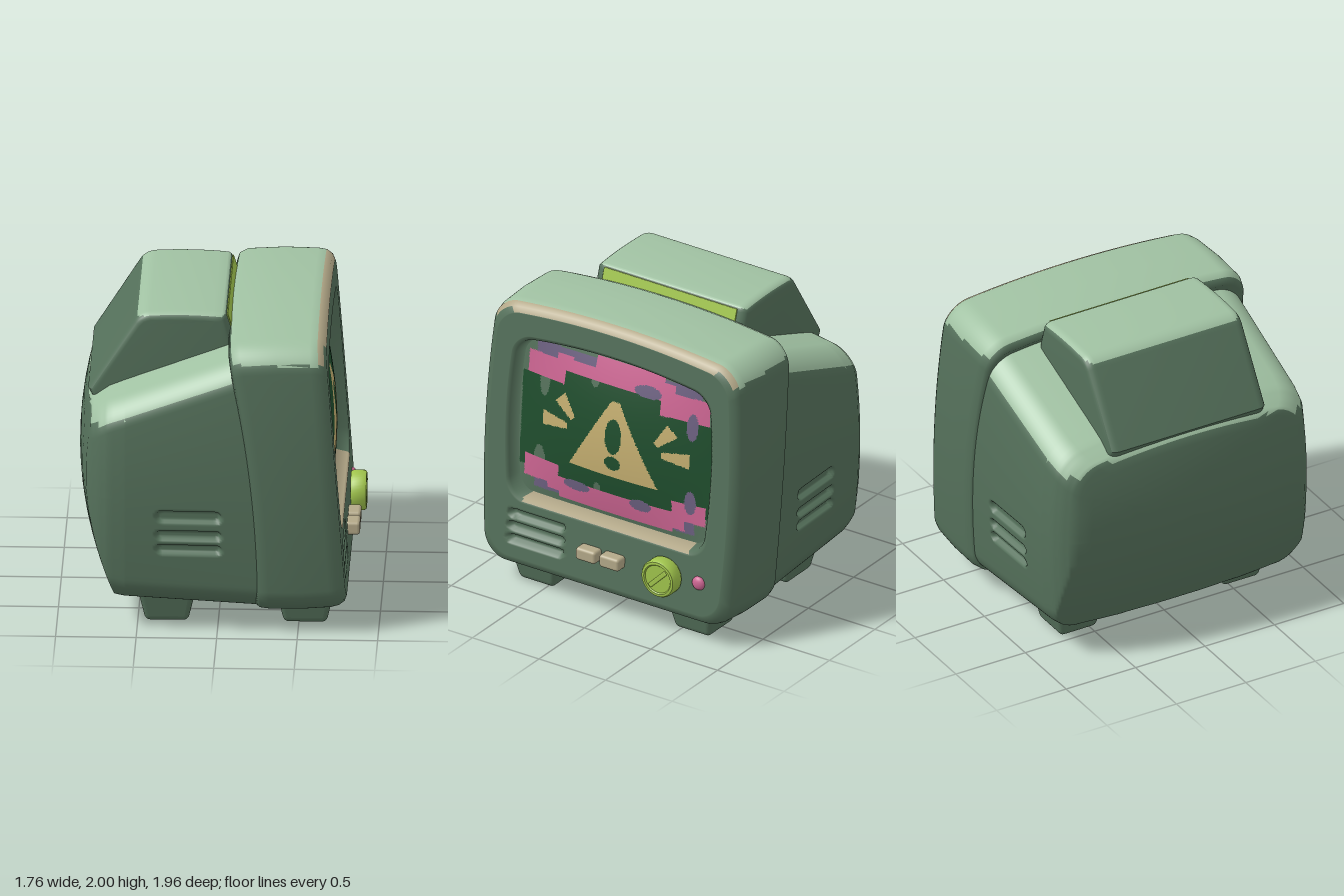
import * as THREE from 'three';
import { mergeVertices, toCreasedNormals } from 'three/addons/utils/BufferGeometryUtils.js';
import { RoundedBoxGeometry } from 'three/addons/geometries/RoundedBoxGeometry.js';

const mat = (name, color) => Object.assign(new THREE.MeshStandardMaterial({ color }), { name });
const lerp = THREE.MathUtils.lerp;

// Slanted front plane, curved seam and domed back, as x positions
const frontX = (y) => 0.80 - 0.13 * (y - 0.2) / 1.7;
const seamX = (y) => 0.24 - 0.17 * (Math.max(0, y - 0.2) / 1.6) ** 2;
const backX = (y, z) => -0.88 + 0.16 * ((y - 1) / 0.75) ** 2 + 0.07 * (z / 0.85) ** 2;

// Bulged rounded rectangle in the zy plane; stops and counts set the sampling down each side
function section([w, y0, y1, r], sag, nFlat, midStops, counts) {
  const half = [], nc = 12;
  for (let i = 0; i <= nFlat; i++) half.push([(w - r) * i / nFlat, y1]);
  for (let i = 1; i < nc; i++) {
    const a = i / nc * Math.PI / 2;
    half.push([w - r + r * Math.sin(a), y1 - r + r * Math.cos(a)]);
  }
  const stops = [y1 - r, ...midStops, y0 + r];
  counts.forEach((n, k) => {
    for (let i = 0; i < n; i++) half.push([w, lerp(stops[k], stops[k + 1], i / n)]);
  });
  for (let i = 0; i < nc; i++) {
    const a = i / nc * Math.PI / 2;
    half.push([w - r + r * Math.cos(a), y0 + r - r * Math.sin(a)]);
  }
  for (let i = 0; i <= nFlat; i++) half.push([(w - r) * (1 - i / nFlat), y0]);
  const loop = [...half, ...half.slice(1, -1).reverse().map(([z, y]) => [-z, y])];
  const yc = (y0 + y1) / 2, h = (y1 - y0) / 2;
  return loop.map(([z, y]) => {
    const t = (y - yc) / h;
    return [z * (1 - 0.05 * t * t), y - sag * (z / w) ** 2 * Math.max(0, t)];
  });
}

// Skin through closed loops of [x, y, z], running towards +x
function loft(rings) {
  const n = rings[0].length, index = [];
  for (let i = 0; i < rings.length - 1; i++) for (let j = 0; j < n; j++) {
    const a = i * n + j, b = i * n + (j + 1) % n;
    index.push(a, b, b + n, a, b + n, a + n);
  }
  const g = new THREE.BufferGeometry();
  g.setAttribute('position', new THREE.Float32BufferAttribute(rings.flat(2), 3));
  g.setIndex(index);
  g.computeVertexNormals();
  return g;
}

// Sort triangles into material groups by rule(normal, centre)
function paint(g, count, rule) {
  const p = g.attributes.position;
  const idx = g.index ? g.index.array : Array.from({ length: p.count }, (_, i) => i);
  const bins = Array.from({ length: count }, () => []);
  const t = new THREE.Triangle(), n = new THREE.Vector3(), c = new THREE.Vector3();
  for (let i = 0; i < idx.length; i += 3) {
    t.setFromAttributeAndIndices(p, idx[i], idx[i + 1], idx[i + 2]);
    t.getNormal(n);
    t.getMidpoint(c);
    bins[rule(n, c)].push(idx[i], idx[i + 1], idx[i + 2]);
  }
  g.clearGroups();
  g.setIndex(bins.flat());
  let start = 0;
  bins.forEach((b, k) => { if (b.length) g.addGroup(start, b.length, k); start += b.length; });
  return g;
}

// Depth of a rounded horizontal slot
function slotDepth(u, y, u0, u1, yc, hh) {
  const du = Math.max(u0 + hh - u, 0, u - u1 + hh);
  return 0.035 * (1 - THREE.MathUtils.smoothstep(Math.hypot(du, y - yc), hh - 0.016, hh + 0.002));
}

// Picture on the screen: 0 dark, 1 pink, 2 mauve, 3 tan, 4 body green
const inRect = (z, y) => ([a, b, c, d]) => z > a && z < b && y > c && y < d;
const inOval = (z, y) => ([a, b, rz, ry]) => ((z - a) / rz) ** 2 + ((y - b) / ry) ** 2 < 1;
const pinkRects = [[-.34, .17, 1.53, 1.69], [.16, .4, 1.53, 1.61], [.34, .46, 1.53, 1.63], [.39, .68, 1.44, 1.59],
  [-.68, -.33, 1.44, 1.6], [-.42, -.33, 1.53, 1.65], [-.68, -.44, .76, .89], [.41, .68, .74, .89],
  [-.44, .41, .66, .81], [-.53, -.43, .69, .8], [.4, .5, .7, .8]];
const mauveOvals = [[-.23, 1.56, .1, .04], [.27, .785, .1, .035], [-.21, .785, .08, .04],
  [-.565, 1.41, .04, .09], [-.57, .9, .04, .08]];
const mauveRects = [[-.62, .62, 1.58, 1.67], [-.6, .6, .68, .76]];
const greenOvals = [[.54, 1.43, .04, .11], [.16, 1.53, .03, .04], [.56, .88, .045, .1], [.11, .82, .025, .04]];
// Tapered ray from its broad end to its tip
function inRay(z, y, a, b) {
  const dz = b[0] - a[0], dy = b[1] - a[1], len = Math.hypot(dz, dy);
  const s = ((z - a[0]) * dz + (y - a[1]) * dy) / len ** 2;
  const d = Math.abs((z - a[0]) * dy - (y - a[1]) * dz) / len;
  return s > 0 && s < 1 && d < lerp(0.05, 0.02, s);
}
function picture(z, y) {
  const oval = inOval(z, y), rect = inRect(z, y), m = Math.abs(z + 0.01);
  const mark = oval([-.01, 1.21, .06, .118]) || oval([-.01, 1.03, .058, .046]);
  if (y > 0.935 && y < 1.44 && m < 0.03 + (1.44 - y) * 0.595 && !mark) return 3;
  if (inRay(z < -0.01 ? -z - 0.02 : z, y, [.54, 1.18], [.34, 1.18])) return 3;
  if (inRay(z < -0.01 ? -z - 0.02 : z, y, [.41, 1.355], [.3, 1.24])) return 3;
  if (mauveOvals.some(oval)) return 2;
  if (pinkRects.some(rect)) return 1;
  if (mauveRects.some(rect)) return 2;
  if (greenOvals.some(oval) || y > 1.53 || y < 0.81) return 4;
  return Math.abs(z) < (y > 1.44 || y < 0.74 ? 0.68 : 0.72) ? 0 : 4;
}

export function createModel() {
  const body = mat('body green', 0x55715b), light = mat('light green', 0xa0c1a2), lime = mat('lime', 0xa0c44c);
  const beige = mat('beige', 0xb3a888), dark = mat('dark screen green', 0x1f4d2d), pink = mat('pink', 0xcc6592);
  const mauve = mat('mauve', 0x6c6080), tan = mat('tan', 0xc4ae70);
  const model = new THREE.Group();
  const add = (name, geo, material, x = 0, y = 0, z = 0) => {
    const m = new THREE.Mesh(geo, material);
    m.name = name;
    m.position.set(x, y, z);
    model.add(m);
    return m;
  };

  // Rear shell with three vents in each side
  const keys = [[-.79, .84, .27, 1.47, .16], [-.74, .885, .225, 1.505, .16], [-.68, .915, .2, 1.545, .16],
    [-.58, .93, .185, 1.585, .16], [.3, .955, .145, 1.915, .16]];
  const shell = [];
  const shellRing = (k) => section(k.slice(1), 0.09, 10, [0.9, 0.48], [8, 42, 4]);
  for (const s of [0, .12, .3, .5, .7, .85, .95]) {
    shell.push(shellRing(keys[0]).map(([z, y]) => {
      const zz = z * s, yy = 0.9 + (y - 0.9) * s;
      return [backX(yy, zz), yy, zz];
    }));
  }
  keys.forEach((k, i) => {
    const next = keys[i + 1], steps = !next ? 1 : i === 3 ? 70 : 3;
    for (let s = 0; s < steps; s++) {
      const key = next ? k.map((v, j) => lerp(v, next[j], s / steps)) : k;
      shell.push(shellRing(key).map(([z, y]) => {
        const x = Math.max(key[0], backX(y, z));
        let d = 0;
        if (Math.abs(z) > 0.8) for (const [yc, hh] of [[.78, .042], [.655, .035], [.56, .034]])
          d = Math.max(d, slotDepth(x, y, -0.385, 0.03, yc, hh));
        return [x, y, z - Math.sign(z) * d];
      }));
    }
  });
  add('rearShell', paint(loft(shell), 2, (n, c) => (n.y > 0.42 && c.y > 1.2 ? 1 : 0)), [body, light]);

  // Front housing: seam, outer wall, face with speaker slots, screen recess
  const frontRing = (w, y0, y1, r, xf) => section([w, y0, y1, r], 0.06, 40, [], [24])
    .map(([z, y]) => [xf(y), y, z]);
  const front = (o) => (y) => frontX(y) - o, seam = (o) => (y) => seamX(y) + o;
  const housing = [
    frontRing(.85, .25, 1.78, .12, seam(.06)), frontRing(.945, .15, 1.87, .14, seam(0)),
    frontRing(.965, .135, 1.915, .15, seam(.025)), frontRing(.98, .13, 1.94, .16, seam(.08)),
    frontRing(.977, .13, 1.955, .16, (y) => (seamX(y) + frontX(y)) / 2), frontRing(.965, .14, 1.955, .16, front(.1)),
    frontRing(.955, .15, 1.95, .16, front(.05)), frontRing(.935, .17, 1.93, .16, front(.015)),
  ];
  const outer = frontRing(.9, .2, 1.9, .15, front(0)), inner = frontRing(.775, .6, 1.76, .13, front(0));
  for (let i = 0; i <= 32; i++) {
    housing.push(outer.map((p, j) => {
      const [, y, z] = p.map((v, k) => lerp(v, inner[j][k], i / 32));
      let d = 0;
      for (const yc of [.505, .42, .335]) d = Math.max(d, slotDepth(z, y, 0.3, 0.725, yc, 0.031));
      return [frontX(y) - d, y, z];
    }));
  }
  housing.push(frontRing(.755, .617, 1.742, .12, front(.012)), frontRing(.735, .635, 1.72, .11, front(.1)));
  housing.push(housing.at(-1).map(() => [frontX(1.17) - 0.1, 1.17, 0]));
  add('frontHousing', paint(loft(housing), 3, (n, c) => {
    if (c.y > 1.6 && n.y > 0.4) return n.x > 0.3 ? 2 : c.x > frontX(c.y) - 0.001 ? 0 : 1;
    return n.y > 0.4 && c.y > 0.56 && c.y < 0.75 && Math.abs(c.z) < 0.62 ? 2 : 0;
  }), [body, light, beige]);

  // Domed screen, coloured cell by cell
  const screen = new THREE.PlaneGeometry(2, 2, 150, 110);
  const sp = screen.attributes.position;
  for (let i = 0; i < sp.count; i++) {
    const u = sp.getX(i), v = sp.getY(i), y = 1.17 + 0.54 * v * (1 - 0.02 * u * u);
    sp.setXYZ(i, frontX(y) - 0.095 + 0.075 * (1 - u * u) * (1 - v * v), y, -0.735 * u * (1 - 0.03 * v * v));
  }
  screen.computeVertexNormals();
  add('screen', paint(screen, 5, (n, c) => picture(c.z, c.y)), [dark, pink, mauve, tan, body]);

  // Raised hump on the rear shell, with a lime strip on its front
  const s = new THREE.Shape();
  s.moveTo(-.77, 1.39);
  s.lineTo(-.815, 1.475);
  s.lineTo(-.53, 1.93);
  s.quadraticCurveTo(-.495, 1.985, -.43, 1.99);
  s.quadraticCurveTo(-.2, 2.005, .02, 1.985);
  s.quadraticCurveTo(.04, 1.98, .048, 1.955);
  s.lineTo(.09, 1.82);
  s.lineTo(.09, 1.39);
  let hump = new THREE.ExtrudeGeometry(s, { depth: 1, bevelSize: 0.045, bevelOffset: -0.045, bevelThickness: 0.06, bevelSegments: 5, curveSegments: 8 });
  hump.translate(0, 0, -0.5);
  hump.deleteAttribute('normal');
  hump.deleteAttribute('uv');
  hump = toCreasedNormals(mergeVertices(hump, 1e-4), 0.6);
  add('rearHump', paint(hump, 2, (n) => (n.y > 0.72 ? 1 : 0)), [body, light]);
  add('humpStrip', new RoundedBoxGeometry(0.009, 0.15, 1.0, 2, 0.004), lime, 0.07, 1.9, 0).rotation.z = 0.3;

  // Four tapered feet
  for (const x of [-0.32, 0.54]) for (const side of [-1, 1]) {
    const foot = new RoundedBoxGeometry(0.33, 0.22, 0.32, 4, 0.035), p = foot.attributes.position;
    for (let i = 0; i < p.count; i++) {
      const k = lerp(0.8, 1.1, (p.getY(i) + 0.11) / 0.22);
      p.setX(i, p.getX(i) * k);
      p.setZ(i, p.getZ(i) * k);
    }
    foot.computeVertexNormals();
    add('foot', foot, body, x, 0.11, side * 0.585);
  }

  // Controls: two push buttons, a dial with a grip and a small round button
  for (const z of [0.093, -0.083]) add('pushButton', new RoundedBoxGeometry(0.09, 0.085, 0.148, 4, 0.02), beige, 0.815, 0.413, z);
  const dialProfile = [[0, 0], [.115, 0], [.125, .015], [.125, .085], [.117, .098], [.1, .1], [.093, .092], [0, .092]];
  const dial = toCreasedNormals(new THREE.LatheGeometry(dialProfile.map(([x, y]) => new THREE.Vector2(x, y)), 40), 0.7);
  add('dial', dial, lime, 0.782, 0.425, -0.465).rotation.z = -Math.PI / 2;
  add('dialGrip', new RoundedBoxGeometry(0.016, 0.03, 0.17, 3, 0.007), lime, 0.876, 0.425, -0.465).rotation.x = Math.PI / 4;
  add('roundButton', new THREE.SphereGeometry(0.046, 24, 16), pink, 0.782, 0.43, -0.71).scale.x = 0.6;
  return model;
}
